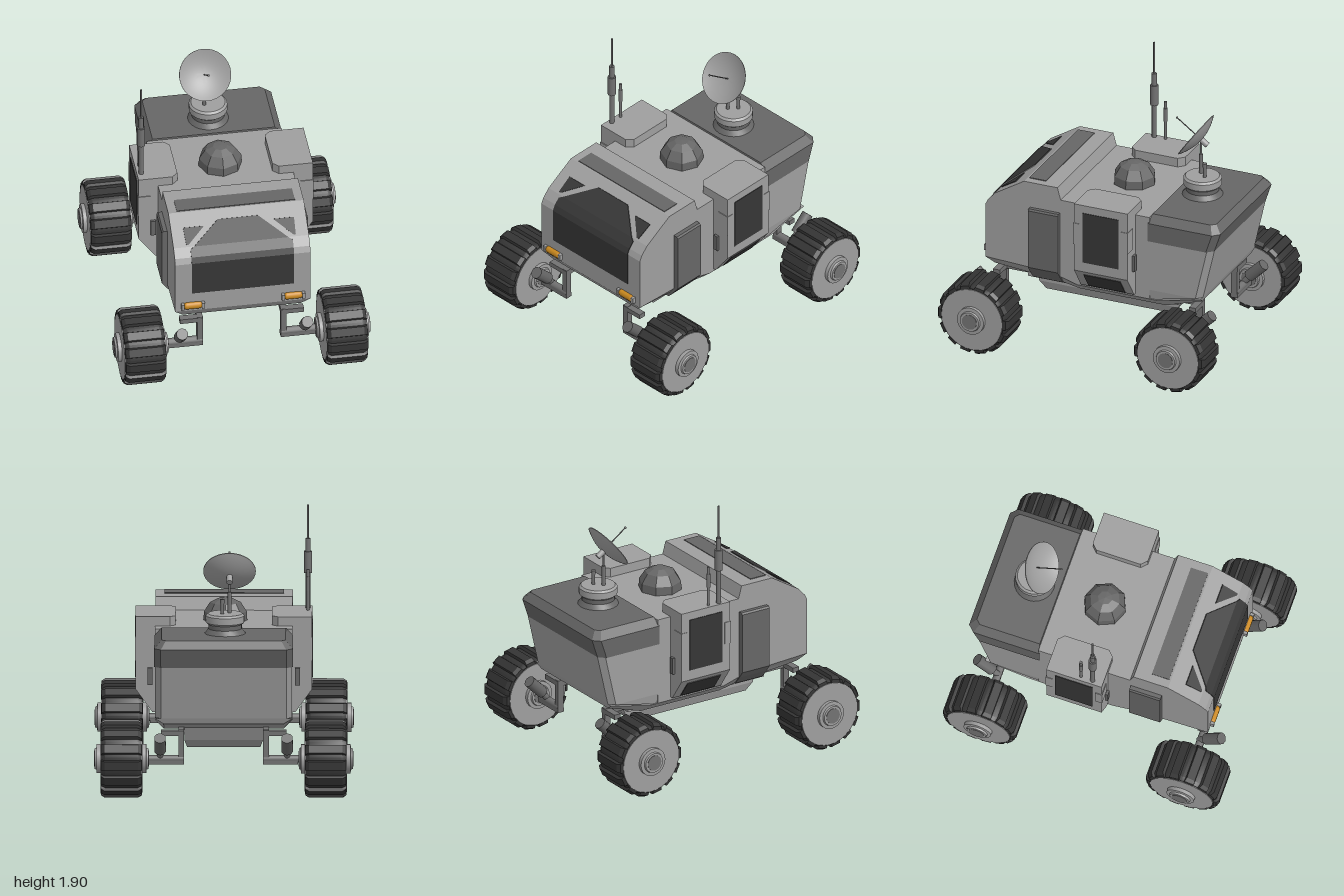
import * as THREE from 'three';
import { toCreasedNormals } from 'three/addons/utils/BufferGeometryUtils.js';

const mat = (name, color) => {
  const m = new THREE.MeshStandardMaterial({ color });
  m.name = name;
  return m;
};

export function createModel() {
  const hull = mat('light grey hull', 0x9e9e9e);
  const dark = mat('dark grey panel', 0x666666);
  const metal = mat('grey metal', 0x727272);
  const black = mat('tyre black', 0x343434);
  const glass = mat('dark glass', 0x363636);
  const amber = mat('amber lamp', 0xcc8a1e);
  const model = new THREE.Group();
  model.name = 'rover';

  const add = (name, geo, material, x = 0, y = 0, z = 0, parent = model) => {
    const m = new THREE.Mesh(geo, material);
    m.name = name;
    m.position.set(x, y, z);
    parent.add(m);
    return m;
  };
  const box = (name, w, h, d, material, x, y, z, parent) =>
    add(name, new THREE.BoxGeometry(w, h, d), material, x, y, z, parent);
  const cyl = (name, r, h, material, x, y, z, parent, seg = 16) =>
    add(name, new THREE.CylinderGeometry(r, r, h, seg), material, x, y, z, parent);
  const lathe = (pts, seg) => toCreasedNormals(
    new THREE.LatheGeometry(pts.map(p => new THREE.Vector2(...p)), seg), 0.5);
  // bar between two points
  const bar = (name, a, b, r, seg, material, parent) => {
    const p = new THREE.Vector3(...a), q = new THREE.Vector3(...b);
    const d = q.clone().sub(p), c = p.clone().add(q).multiplyScalar(0.5);
    const m = cyl(name, r, d.length(), material, c.x, c.y, c.z, parent, seg);
    m.quaternion.setFromUnitVectors(new THREE.Vector3(0, 1, 0), d.normalize());
    return m;
  };
  // flat-faced solid through convex rings of equal length, always facing out
  const loft = (rings) => {
    const tris = [], n = rings[0].length;
    for (let i = 0; i + 1 < rings.length; i++) for (let j = 0; j < n; j++) {
      const k = (j + 1) % n, a = rings[i], b = rings[i + 1];
      tris.push([a[j], a[k], b[k]], [a[j], b[k], b[j]]);
    }
    const last = rings[rings.length - 1];
    for (let j = 1; j + 1 < n; j++) {
      tris.push([rings[0][0], rings[0][j + 1], rings[0][j]], [last[0], last[j], last[j + 1]]);
    }
    let volume = 0;
    for (const [a, b, c] of tris) {
      volume += new THREE.Vector3(...a).dot(new THREE.Vector3(...b).cross(new THREE.Vector3(...c)));
    }
    const pos = tris.flatMap(([a, b, c]) => (volume < 0 ? [a, c, b] : [a, b, c]).flat());
    const g = new THREE.BufferGeometry();
    g.setAttribute('position', new THREE.Float32BufferAttribute(pos, 3));
    g.computeVertexNormals();
    return g;
  };

  // cabin: side outline (z, y) extruded across the width
  const nose = [[0.8, 0.57], [0.8, 0.97], [0.78, 1.01], [0.73, 1.065], [0.51, 1.2]];
  const outline = [...nose, [0.26, 1.2], [0.235, 1.11], [-0.43, 1.11], [-0.43, 0.49], [0.11, 0.49], [0.3, 0.545]];
  const cabin = new THREE.ExtrudeGeometry(
    new THREE.Shape(outline.map(p => new THREE.Vector2(-p[0], p[1]))), { depth: 0.94, bevelEnabled: false });
  cabin.rotateY(Math.PI / 2).translate(-0.47, 0, 0);
  add('cabin', cabin, hull);

  // skirt under the hull: [upper z, upper y, lower z, lower y]
  add('skirt', loft([
    [0.8, 0.57, 0.755, 0.505], [0.3, 0.545, 0.25, 0.46], [0.11, 0.49, 0.12, 0.435],
    [-0.5, 0.49, -0.53, 0.435], [-0.815, 0.56, -0.8, 0.52],
  ].map(([zu, yu, zl, yl]) => [[-0.47, yu, zu], [0.47, yu, zu], [0.41, yl, zl], [-0.41, yl, zl]])), hull);
  add('belly', loft([[0.3, 0.25, 0.44, -0.5], [0.36, 0.27, 0.485, -0.56], [0.5, 0.27, 0.52, -0.62]].map(([y, x, f, b]) =>
    [[-x, y, b], [x, y, b], [x, y, f], [-x, y, f]])), hull);

  // rear body and its dark cover, with clipped rear corners
  const plan = (y, x, front, rear, clip) => [[-x, y, front], [x, y, front], [x, y, rear + clip],
    [x - clip, y, rear], [clip - x, y, rear], [-x, y, rear + clip]];
  add('rearBody', loft([plan(0.49, 0.46, -0.4, -0.5, 0.03), plan(0.56, 0.47, -0.4, -0.815, 0.04),
    plan(0.93, 0.47, -0.4, -0.9, 0.04)]), hull);
  add('rearCover', loft([plan(0.93, 0.475, -0.42, -0.9, 0.045), plan(1.065, 0.475, -0.42, -0.945, 0.045),
    plan(1.12, 0.425, -0.435, -0.9, 0.03)]), dark);

  // glass that follows the nose: rows of [y, left x, right x]
  const noseZ = (y) => {
    for (let i = 0; i + 1 < nose.length; i++) {
      const [z0, y0] = nose[i], [z1, y1] = nose[i + 1];
      if (y <= y1) return z0 + (z1 - z0) * (y - y0) / (y1 - y0);
    }
    return 0.51;
  };
  const noseGlass = (name, rows) => add(name, loft(rows.map(([y, a, b]) => {
    const z = noseZ(y);
    return [[a, y - 0.002, z - 0.003], [b, y - 0.002, z - 0.003], [b, y + 0.003, z + 0.005], [a, y + 0.003, z + 0.005]];
  })), glass);
  noseGlass('windscreen', [[0.715, 0.355], [0.97, 0.355], [1.01, 0.355], [1.05, 0.355], [1.065, 0.327], [1.16, 0.14]]
    .map(([y, x]) => [y, -x, x]));
  noseGlass('leftCornerWindow', [[1.073, 0.365, 0.38], [1.14, 0.24, 0.385]]);
  noseGlass('rightCornerWindow', [[1.073, -0.38, -0.365], [1.14, -0.385, -0.24]]);
  box('roofSlot', 0.82, 0.008, 0.125, dark, 0, 1.201, 0.435);

  for (const s of [-1, 1]) {
    const side = s > 0 ? 'left' : 'right';
    // head lamp with rounded ends
    const lamp = add(side + 'Lamp', new THREE.CapsuleGeometry(0.026, 0.085, 4, 10), amber, s * 0.348, 0.617, 0.805);
    lamp.rotation.z = Math.PI / 2;
    lamp.scale.z = 0.9;
    for (const e of [-1, 1]) box(side + 'LampEnd', 0.02, 0.045, 0.03, hull, s * 0.348 + e * 0.071, 0.617, 0.812);

    // dark side panel, bent in at the bottom
    add(side + 'SidePanel', loft([[0.46, 0.42], [0.52, 0.47], [0.57, 0.508], [1.0, 0.508], [1.012, 0.498]].map(([y, x]) =>
      [[s * 0.36, y, 0.24], [s * x, y, 0.24], [s * x, y, 0.465], [s * 0.36, y, 0.465]])), dark);

    // airlock pod
    add(side + 'Pod', loft([[0.51, 0.49], [0.67, 0.605], [1.175, 0.605]].map(([y, x]) =>
      [[0.33, -0.285], [0.33, 0.035], [0.37, 0.075], [x, 0.075], [x, -0.325], [0.37, -0.325]]
        .map(([px, pz]) => [s * px, y, pz]))), hull);
    box(side + 'DoorWindow', 0.009, 0.375, 0.27, glass, s * 0.605, 0.93, -0.125);
    const low = box(side + 'LowerWindow', 0.009, 0.145, 0.275, glass, s * 0.541, 0.58, -0.125);
    low.rotation.z = -s * Math.atan2(0.115, 0.16);
    for (const z of [0.055, -0.305]) box(side + 'PodRail', 0.09, 0.16, 0.05, hull, s * 0.564, 0.95, z);
    for (const z of [0.083, -0.333]) box(side + 'PodHandle', 0.035, 0.12, 0.02, dark, s * 0.505, 0.76, z);
    box(side + 'ChassisRail', 0.05, 0.05, 1.12, hull, s * 0.285, 0.425, -0.01);

    for (const f of [-1, 1]) {
      // suspension arm, damper and axle
      const arm = new THREE.Group();
      arm.name = (f > 0 ? 'front' : 'rear') + (s > 0 ? 'Left' : 'Right') + 'Suspension';
      model.add(arm);
      box('hanger', 0.04, 0.235, 0.045, metal, s * 0.29, 0.35, f * 0.735, arm);
      box('upperArm', 0.16, 0.035, 0.05, metal, s * 0.35, 0.447, f * 0.735, arm);
      box('spar', 0.04, 0.04, 0.25, metal, s * 0.29, 0.445, f * 0.63, arm);
      box('lowerArm', 0.24, 0.03, 0.05, metal, s * 0.39, 0.245, f * 0.735, arm);
      bar('axle', [s * 0.275, 0.265, f * 0.735], [s * 0.54, 0.265, f * 0.735], 0.027, 12, metal, arm);
      bar('damper', [s * 0.435, 0.33, f * 0.775], [s * 0.435, 0.437, f * 0.885], 0.041, 10, dark, arm);
      bar('damperRod', [s * 0.435, 0.26, f * 0.72], [s * 0.435, 0.36, f * 0.81], 0.022, 8, metal, arm);

      // wheel, built on a vertical axis and laid on its side
      const wheel = new THREE.Group();
      wheel.name = (f > 0 ? 'front' : 'rear') + (s > 0 ? 'Left' : 'Right') + 'Wheel';
      wheel.position.set(s * 0.7, 0.265, f * 0.735);
      wheel.rotation.z = -s * Math.PI / 2;
      model.add(wheel);
      add('tyre', lathe([[0, -0.138], [0.234, -0.138], [0.248, -0.11], [0.248, 0.11], [0.234, 0.138], [0, 0.138]], 28), black, 0, 0, 0, wheel);
      const lug = loft([[0.228, 0.143, 0.036], [0.25, 0.14, 0.034], [0.266, 0.115, 0.029]].map(([r, w, t]) =>
        [[r, -w, -t], [r, w, -t], [r, w, t], [r, -w, t]]));
      for (let i = 0; i < 14; i++) {
        add('treadLug', lug, black, 0, 0, 0, wheel).rotation.y = (i + 0.5) * Math.PI / 7;
      }
      cyl('wheelDisc', 0.227, 0.288, hull, 0, 0, 0, wheel, 32);
      add('hub', lathe([[0, -0.185], [0.07, -0.185], [0.075, -0.172], [0.1, -0.17], [0.1, 0.17],
        [0.075, 0.172], [0.07, 0.185], [0, 0.185]], 24), hull, 0, 0, 0, wheel);
      cyl('hubCap', 0.055, 0.376, metal, 0, 0, 0, wheel, 20);
    }
  }

  // faceted roof dome
  add('roofDome', new THREE.LatheGeometry([[0.15, 0], [0.147, 0.06], [0.105, 0.125], [0.05, 0.152], [0, 0.156]]
    .map(p => new THREE.Vector2(...p)), 8).toNonIndexed(), dark, -0.01, 1.11, -0.105).geometry.computeVertexNormals();

  // aerials on the right pod
  for (const [r, y0, y1] of [[0.017, 1.17, 1.42], [0.028, 1.42, 1.57], [0.018, 1.57, 1.66], [0.007, 1.66, 1.895]]) {
    cyl('mainAerial', r, y1 - y0, metal, -0.575, (y0 + y1) / 2, 0);
  }
  cyl('shortAerial', 0.01, 0.29, metal, -0.575, 1.315, -0.085);
  cyl('shortAerialSleeve', 0.014, 0.1, metal, -0.575, 1.36, -0.085);

  // dish turret
  add('turretFoot', lathe([[0.142, 0], [0.115, 0.035], [0.115, 0.07]], 24), dark, -0.01, 1.118, -0.615);
  add('turret', lathe([[0, 0], [0.12, 0], [0.133, 0.012], [0.133, 0.058], [0.118, 0.072], [0, 0.072]], 24),
    hull, -0.01, 1.185, -0.615);
  cyl('dishPole', 0.013, 0.15, metal, -0.04, 1.325, -0.59);
  cyl('dishPoleTop', 0.007, 0.1, metal, -0.04, 1.445, -0.59);
  cyl('turretRod', 0.012, 0.11, metal, 0.01, 1.305, -0.64);
  cyl('turretRodTip', 0.015, 0.03, metal, 0.01, 1.345, -0.64);

  // dish, its axis tipped forward
  const dish = new THREE.Group();
  dish.name = 'dish';
  dish.position.set(-0.04, 1.54, -0.55);
  dish.rotation.x = 0.945;
  model.add(dish);
  const bowl = [];
  for (let i = 0; i <= 8; i++) bowl.push([0.18 * i / 8, -0.05 + 0.05 * (i / 8) ** 2]);
  const back = bowl.map(([r, y]) => [r, y - 0.005]);
  add('dishBowl', lathe([...back, ...bowl.reverse()], 32), hull, 0, 0, 0, dish);
  cyl('dishStub', 0.021, 0.06, hull, 0, -0.08, 0, dish);
  cyl('feedRod', 0.004, 0.222, dark, 0, 0.061, 0, dish, 8);
  add('feedTip', new THREE.SphereGeometry(0.008, 10, 8), dark, 0, 0.172, 0, dish);

  return model;
}
